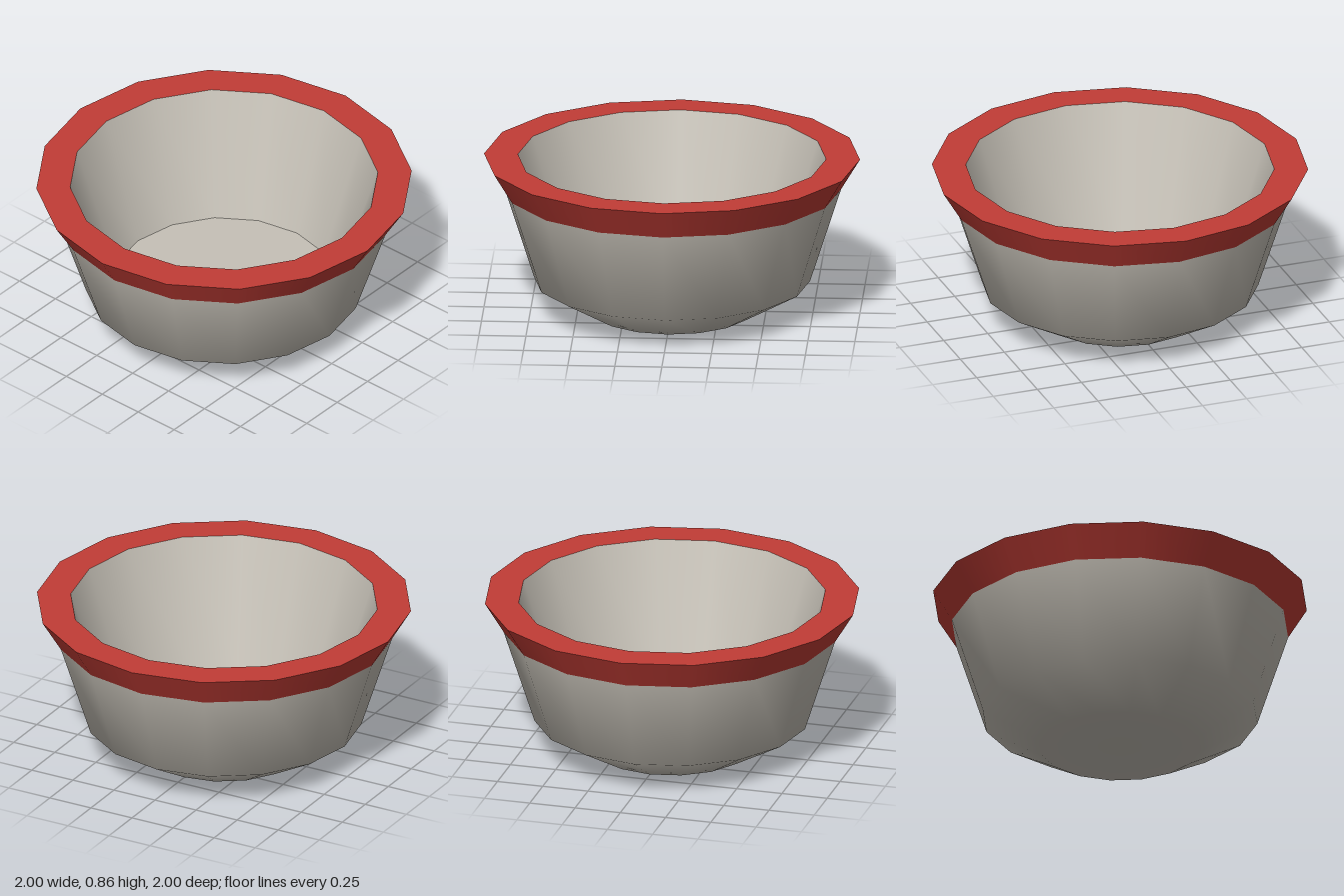
import * as THREE from 'three';

const SIDES = 16;

export function createModel() {
  const model = new THREE.Group();
  model.name = 'bowl';

  const clay = new THREE.MeshStandardMaterial({ color: 0xc6c1b7 });
  clay.name = 'warm grey';
  const red = new THREE.MeshStandardMaterial({ color: 0xc23d36 });
  red.name = 'rim red';

  // Turns a profile of [radius, height] points; rising points face outward
  const turn = (name, material, profile) => {
    const points = profile.map(([r, y]) => new THREE.Vector2(r, y));
    const mesh = new THREE.Mesh(new THREE.LatheGeometry(points, SIDES), material);
    mesh.name = name;
    model.add(mesh);
  };

  // Underside, chamfered foot and outer wall, shaded as one smooth surface
  turn('outerShell', clay, [[0, 0], [0.43, 0], [0.735, 0.175], [0.9, 0.69]]);
  // Flared band and flat top of the rim
  turn('rimBand', red, [[0.9, 0.69], [1, 0.855]]);
  turn('rimTop', red, [[1, 0.855], [0.82, 0.855]]);
  // Inside of the bowl
  turn('innerWall', clay, [[0.82, 0.855], [0.6, 0.175]]);
  turn('innerFloor', clay, [[0.6, 0.175], [0, 0.175]]);

  return model;
}
